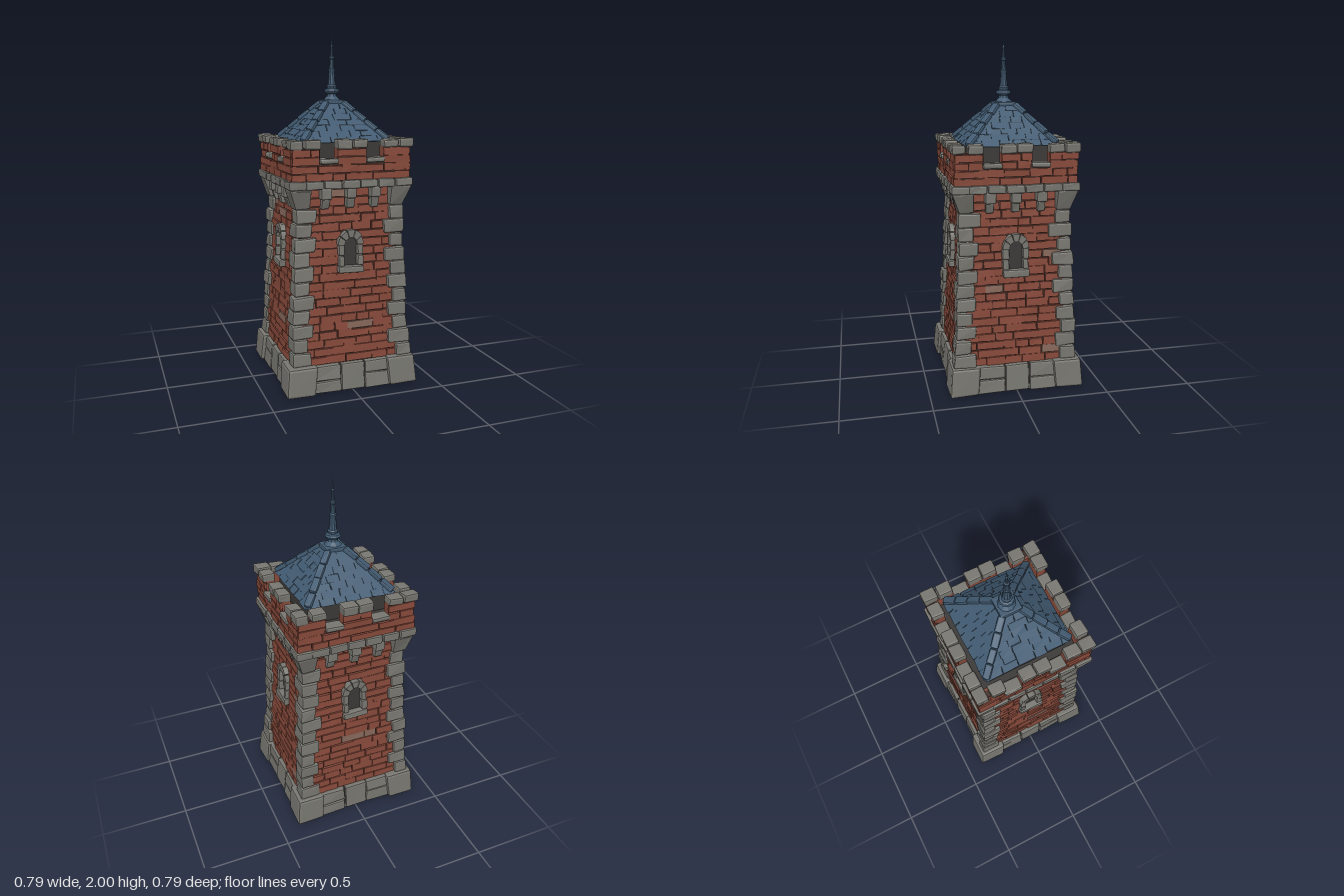
import * as THREE from 'three';
import { mergeGeometries } from 'three/addons/utils/BufferGeometryUtils.js';
import { RoundedBoxGeometry } from 'three/addons/geometries/RoundedBoxGeometry.js';

const COLORS = { stone: 0x777670, brick: 0x884a3b, paleBrick: 0x86675a, mortar: 0x47302a, slate: 0x415a71, darkSlate: 0x263440, shadowStone: 0x3b3937 };

export function createModel() {
  const mats = {};
  for (const [name, color] of Object.entries(COLORS)) {
    mats[name] = new THREE.MeshStandardMaterial({ color });
    mats[name].name = name;
  }
  let seed = 11;
  const rnd = () => (seed = (seed * 16807) % 2147483647) / 2147483647;
  const spread = a => (rnd() * 2 - 1) * a;
  const SIDES = [0, 1, 2, 3];

  // Collect faceted geometry per part, merged at the end
  const parts = {};
  function add(part, mat, geo, turn = 0) {
    if (geo.index) geo = geo.toNonIndexed();
    geo.deleteAttribute('uv');
    geo.rotateY(turn * Math.PI / 2);
    geo.computeVertexNormals();
    (parts[part] ??= { mat, geos: [] }).geos.push(geo);
  }

  // Hewn block: chamfered (r > 0) or plain box, corners jittered, then warped
  function block(part, mat, [x0, x1], [y0, y1], [z0, z1], { r = 0.008, jit = 0.004, warp, turn = 0, matrix } = {}) {
    const s = [x1 - x0, y1 - y0, z1 - z0];
    const geo = r ? new RoundedBoxGeometry(...s, 1, Math.min(r, ...s.map(k => k * 0.4))) : new THREE.BoxGeometry(...s);
    const off = Array.from({ length: 8 }, () => new THREE.Vector3(spread(jit), spread(jit), spread(jit)));
    const p = geo.attributes.position, v = new THREE.Vector3(), d = new THREE.Vector3();
    for (let i = 0; i < p.count; i++) {
      v.fromBufferAttribute(p, i);
      const t = [v.x / s[0] + 0.5, v.y / s[1] + 0.5, v.z / s[2] + 0.5];
      d.set(0, 0, 0);
      off.forEach((o, c) => d.addScaledVector(o, t.reduce((w, k, a) => w * ((c >> a) & 1 ? k : 1 - k), 1)));
      v.add(d);
      v.x += (x0 + x1) / 2; v.y += (y0 + y1) / 2; v.z += (z0 + z1) / 2;
      if (warp) warp(v);
      p.setXYZ(i, v.x, matrix ? v.y : Math.max(0, v.y), v.z);
    }
    if (matrix) geo.applyMatrix4(matrix);
    add(part, mat, geo, turn);
  }

  // Square frustum from half-widths
  function frustum(part, mat, y0, h0, y1, h1) {
    const q = Math.SQRT2;
    add(part, mat, new THREE.CylinderGeometry(h1 * q, h0 * q, y1 - y0, 4).rotateY(Math.PI / 4).translate(0, (y0 + y1) / 2, 0));
  }

  // Half-width of the tapering wall
  const wall = y => 0.34 - 0.05 * (y - 0.16);
  const onWall = v => { v.z += wall(v.y); };
  const onCorner = v => { const w = wall(v.y); v.x += w; v.z += w; };

  // One course of bricks between two ends
  function course(part, x0, x1, y0, y1, z, warp, turn) {
    let x = x0;
    while (x < x1 - 0.001) {
      let end = x + 0.07 + rnd() * 0.09;
      if (x1 - end < 0.05) end = x1;
      const pale = rnd() < 0.03, gap = rnd() < 0.6 ? 0.005 : 0.001;
      const front = z + spread(0.004);
      block(pale ? 'weathered bricks' : part, pale ? 'paleBrick' : 'brick',
        [x, end - gap], [y0 + 0.001, y1 - (rnd() < 0.7 ? 0.005 : 0.001)], [z - 0.03, front], { r: 0, jit: 0.0018, warp, turn });
      x = end;
    }
  }

  // Plinth
  frustum('plinth base', 'stone', 0, 0.36, 0.03, 0.36);
  frustum('plinth core', 'shadowStone', 0.03, 0.357, 0.15, 0.35);
  for (const turn of SIDES) {
    const slope = v => { v.z -= v.y * 0.09; };
    block('plinth corners', 'stone', [0.225, 0.393], [0, 0.165], [0.225, 0.393],
      { r: 0.014, turn, warp: v => { v.x -= v.y * 0.09; v.z -= v.y * 0.09; } });
    const cuts = [-0.235, -0.07, 0.075, 0.235];
    for (let i = 0; i < 3; i++) {
      const mid = 0.075 + spread(0.012), range = [cuts[i] + 0.003, cuts[i + 1] - 0.003];
      if (i === 1) block('plinth stones', 'stone', range, [0, 0.155], [0.31, 0.374], { turn, warp: slope });
      else for (const [a, b] of [[0, mid - 0.002], [mid + 0.002, 0.157]])
        block('plinth stones', 'stone', range, [a, b], [0.31, 0.374], { turn, warp: slope });
    }
  }

  // Tapered brick shaft and its corner stones
  frustum('shaft core', 'mortar', 0.14, wall(0.14) - 0.01, 1.18, wall(1.18) - 0.01);
  const rows = 21, rowH = 0.99 / rows;
  for (const turn of SIDES) {
    for (let i = 0; i < rows; i++) {
      const y0 = 0.16 + i * rowH, y1 = y0 + rowH, e = wall(y0) - 0.04;
      const spans = y1 > 0.7 && y0 < 0.89 ? [[-e, -0.048], [0.048, e]] : [[-e, e]];
      for (const [a, b] of spans) course('shaft bricks', a, b, y0, y1, 0, onWall, turn);
    }
    let y = 0.162;
    for (let i = 0; i < 11; i++) {
      const h = 0.0805, long = 0.1 + spread(0.01), short = 0.07 + spread(0.008), out = 0.018 + spread(0.006);
      const [a, b] = i % 2 ? [long, short] : [short, long];
      block('corner stones', 'stone', [-a, out], [y, y + h - 0.004], [-b, out], { r: 0.01, jit: 0.005, warp: onCorner, turn });
      y += h;
    }
  }

  // Arched windows, one on each side
  for (const turn of SIDES) {
    const cy = 0.835, panel = new THREE.Shape();
    panel.moveTo(-0.046, 0.7).lineTo(0.046, 0.7).lineTo(0.046, cy).absarc(0, cy, 0.046, 0, Math.PI, false);
    add('window openings', 'shadowStone', new THREE.ShapeGeometry(panel, 6).translate(0, 0, wall(0.7) - 0.006), turn);
    block('window sills', 'stone', [-0.076, 0.076], [0.675, 0.715], [-0.02, 0.032], { turn, warp: onWall });
    for (const s of [-1, 1]) for (let i = 0; i < 2; i++) {
      const w = 0.074 + spread(0.004), xs = s < 0 ? [-w, -0.039] : [0.039, w];
      block('window jambs', 'stone', xs, [0.717 + i * 0.06, 0.774 + i * 0.06], [-0.02, 0.026], { jit: 0.002, turn, warp: onWall });
    }
    for (let i = 0; i < 5; i++) {
      const a = i * Math.PI / 5 + 0.025, b = (i + 1) * Math.PI / 5 - 0.025, outer = 0.076 + spread(0.003);
      const wedge = new THREE.Shape();
      wedge.absarc(0, 0, outer, a, b, false).absarc(0, 0, 0.038, b, a, true);
      add('window arches', 'stone', new THREE.ExtrudeGeometry(wedge, { depth: 0.044, bevelEnabled: false, curveSegments: 3 })
        .scale(1, 1.1, 1).translate(0, cy, wall(cy) - 0.018), turn);
    }
  }

  // Corbels and projecting ledge
  frustum('ledge core', 'stone', 1.155, 0.345, 1.195, 0.345);
  for (const turn of SIDES) {
    block('corner corbels', 'stone', [0.235, 0.318], [1.045, 1.158], [0.235, 0.318], { turn, warp: v => {
      const k = (v.y - 1.045) * 0.33;
      v.x += k * (v.x - 0.235) / 0.083; v.z += k * (v.z - 0.235) / 0.083;
    } });
    for (const x of [-0.145, 0, 0.145]) {
      block('corbels', 'stone', [x - 0.03, x + 0.03], [1.097, 1.158], [0.27, 0.342], { turn, jit: 0.003 });
      block('corbels', 'stone', [x - 0.024, x + 0.024], [1.04, 1.1], [0.27, 0.312], { turn, jit: 0.003,
        warp: v => { v.z += (v.y - 1.04) * 0.3; } });
    }
    for (let i = 0; i < 6; i++) {
      const x = -0.27 + i * 0.105;
      block('ledge stones', 'stone', [x + 0.002, (i === 5 ? 0.36 : x + 0.105) - 0.002], [1.156, 1.202], [0.26, 0.36], { turn });
    }
  }

  // Brick parapet with merlons, sills and cap stones
  const merlons = [[-0.34, -0.185], [-0.085, 0.085], [0.185, 0.34]];
  frustum('roof deck', 'shadowStone', 1.19, 0.295, 1.3, 0.295);
  for (const turn of SIDES) {
    block('parapet core', 'mortar', [-0.336, 0.336], [1.19, 1.305], [0.295, 0.336], { r: 0, jit: 0, turn });
    for (const [a, b] of merlons) {
      block('parapet core', 'mortar', [Math.max(a, -0.336), Math.min(b, 0.336)], [1.3, 1.38], [0.3, 0.336], { r: 0, jit: 0, turn });
      block('parapet lining', 'brick', [Math.max(a, -0.3) - 0.001, Math.min(b, 0.3) + 0.001], [1.29, 1.38], [0.286, 0.334], { r: 0, jit: 0, turn });
    }
    for (let i = 0; i < 4; i++) {
      const y0 = 1.2 + i * 0.0435, y1 = y0 + 0.0435;
      for (const [a, b] of i < 2 ? [[-0.345, 0.345]] : merlons)
        course('parapet bricks', a, b, y0, y1, 0.346, null, turn);
    }
    for (let i = 0; i < 7; i++) {
      const x = -0.27 + i * 0.09, gap = i === 1 || i === 4;
      const ys = gap ? [1.292, 1.322] : [1.372 + spread(0.004), 1.421 + spread(0.003)];
      block(gap ? 'crenel sills' : 'merlon caps', 'stone',
        [x + 0.0015 - (gap ? 0.01 : 0), x + 0.0885 + (gap ? 0.01 : 0)], ys, [0.284, 0.357], { r: 0.01, turn });
    }
  }

  // Slate roof: eave box, core, tile courses and hip ridges
  const EAVE = 1.402, TOP = 1.612;
  const roofHalf = y => 0.255 - (y - EAVE) * (0.2 / (TOP - EAVE));
  frustum('roof base', 'shadowStone', 1.29, 0.238, EAVE, 0.238);
  frustum('roof core', 'darkSlate', EAVE, 0.253, TOP, 0.053);
  const courses = 7, ch = (TOP - EAVE) / courses;
  for (const turn of SIDES) {
    for (let i = 0; i < courses; i++) {
      const y0 = EAVE + i * ch, edge = roofHalf(y0);
      const warp = v => {
        const h = roofHalf(v.y);
        v.x = THREE.MathUtils.clamp(v.x, -h, h);
        v.z += h - 0.005 * (v.y - y0) / ch;
      };
      for (let x = -edge; x < edge - 0.001;) {
        let end = x + 0.06 + rnd() * 0.05;
        if (edge - end < 0.04) end = edge;
        block('roof tiles', 'slate', [x, end - 0.003], [y0, y0 + ch - 0.001], [-0.02, 0.009 + spread(0.002)], { r: 0, jit: 0.002, warp, turn });
        x = end;
      }
    }
    const a = new THREE.Vector3(0.252, 1.413, 0.252), b = new THREE.Vector3(0.05, 1.618, 0.05);
    const matrix = new THREE.Matrix4().lookAt(b, a, new THREE.Vector3(0, 1, 0)).setPosition(a);
    const len = a.distanceTo(b) / 4;
    for (let i = 0; i < 4; i++)
      block('hip ridges', 'slate', [-0.02, 0.02], [-0.014, 0.014], [i * len, (i + 1) * len - 0.002], { jit: 0.003, matrix, turn });
  }

  // Finial: square cap and turned spire
  block('finial cap', 'slate', [-0.062, 0.062], [1.6, 1.632], [-0.062, 0.062], { jit: 0.002 });
  const profile = [[0.05, 1.63], [0.03, 1.65], [0.027, 1.665], [0.04, 1.67], [0.045, 1.68], [0.04, 1.692], [0.028, 1.697],
    [0.03, 1.71], [0.023, 1.718], [0.017, 1.79], [0.02, 1.795], [0.02, 1.805], [0.015, 1.81], [0.012, 1.86], [0.016, 1.865],
    [0.015, 1.876], [0.009, 1.88], [0.006, 1.93], [0.008, 1.935], [0.005, 1.943], [0, 2]];
  add('finial spire', 'slate', new THREE.LatheGeometry(profile.map(p => new THREE.Vector2(...p)), 10));

  const group = new THREE.Group();
  group.name = 'watchtower';
  for (const [name, { mat, geos }] of Object.entries(parts)) {
    const mesh = new THREE.Mesh(mergeGeometries(geos), mats[mat]);
    mesh.name = name;
    group.add(mesh);
  }
  return group;
}
